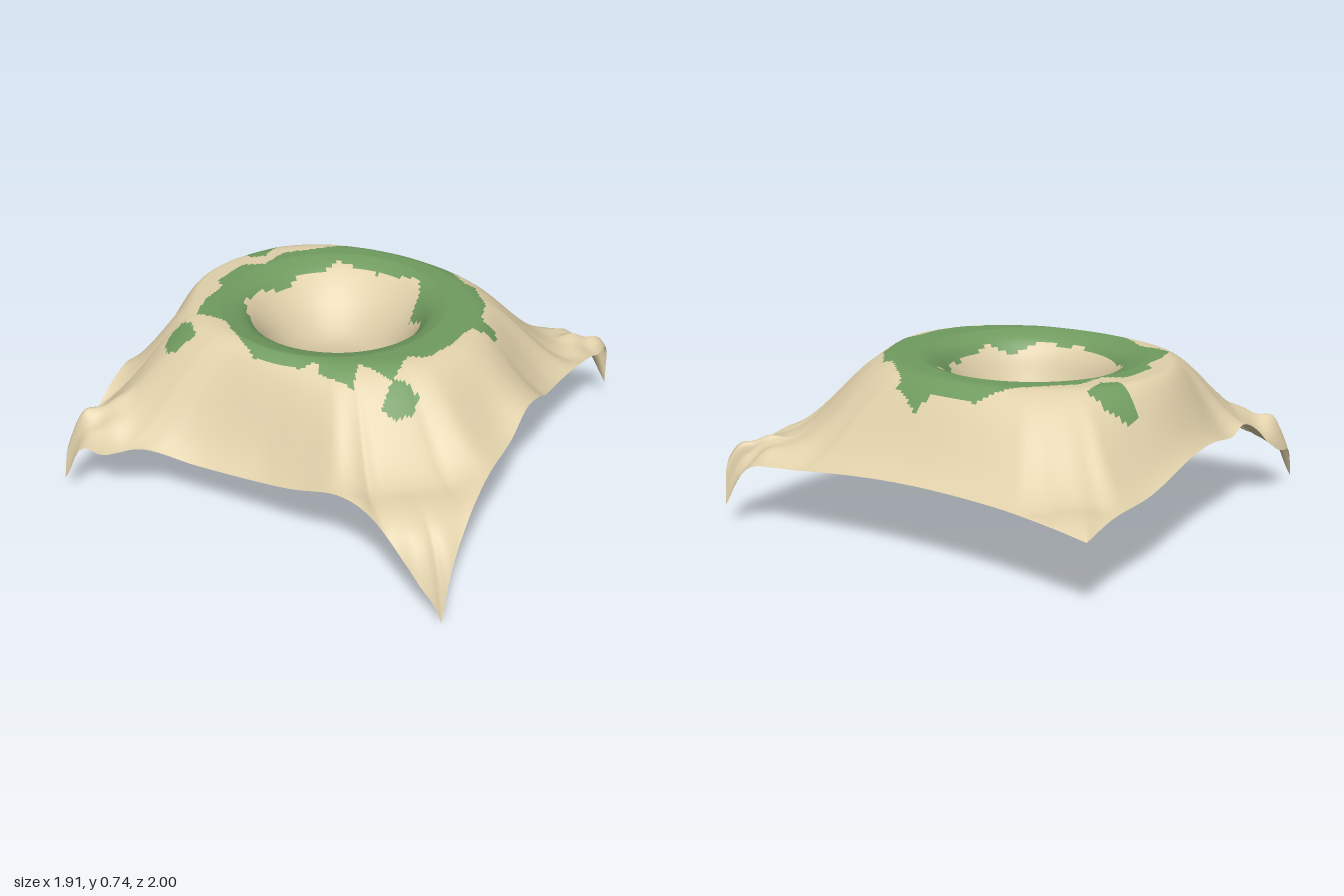
import * as THREE from 'three';

const CENTER = new THREE.Vector2(-0.07, -0.02);
const PER_SIDE = 60, CRATER_RINGS = 36, SLOPE_RINGS = 64, TOP = 0.738, RIM = 0.51;

// Outer border of the terrain, one run per side: x, y, z
const SIDES = [
  [[0.95, 0, 0.985], [0.92, 0.08, 0.992], [0.86, 0.16, 1], [0.79, 0.23, 0.985], [0.6, 0.37, 0.93], [0.45, 0.4, 0.9],
    [0.2, 0.33, 0.86], [0, 0.29, 0.83], [-0.3, 0.27, 0.82], [-0.55, 0.3, 0.86], [-0.72, 0.24, 0.9], [-0.85, 0.21, 0.915],
    [-0.955, 0.05, 0.91]],
  [[-0.955, 0.05, 0.91], [-0.96, 0.19, 0.85], [-0.95, 0.22, 0.72], [-0.93, 0.36, 0.57], [-0.92, 0.43, 0.42], [-0.92, 0.4, 0.32],
    [-0.93, 0.43, 0.1], [-0.94, 0.43, -0.1], [-0.955, 0.37, -0.5], [-0.95, 0.36, -0.8], [-0.955, 0.33, -1]],
  [[-0.955, 0.33, -1], [-0.8, 0.35, -0.99], [-0.5, 0.37, -0.965], [0, 0.37, -0.95], [0.5, 0.33, -0.965], [0.8, 0.28, -0.985],
    [0.95, 0.08, -0.99]],
  [[0.95, 0.08, -0.99], [0.95, 0.27, -0.96], [0.945, 0.3, -0.87], [0.93, 0.34, -0.75], [0.92, 0.37, -0.6], [0.9, 0.38, -0.4],
    [0.91, 0.42, -0.2], [0.92, 0.47, -0.1], [0.92, 0.5, 0.06], [0.925, 0.44, 0.25], [0.93, 0.42, 0.5], [0.94, 0.36, 0.7],
    [0.95, 0.21, 0.9], [0.95, 0, 0.985]],
];

// Crater cross-sections from the pit floor to the rim: centre x, centre z, radius x, radius z, height
const CRATER = [
  [-0.09, 0.02, 0, 0, 0.085], [-0.095, 0.02, 0.09, 0.095, 0.1], [-0.1, 0.015, 0.135, 0.165, 0.17],
  [-0.095, 0.015, 0.165, 0.19, 0.23], [-0.067, 0.01, 0.2, 0.21, 0.31], [-0.04, 0.01, 0.25, 0.235, 0.43],
  [-0.04, 0, 0.31, 0.29, 0.55], [-0.05, -0.02, 0.37, 0.35, 0.64], [-0.06, -0.03, 0.43, 0.42, 0.705],
  [CENTER.x, CENTER.y, RIM, RIM, TOP],
];

// Grass ring outlines and loose patches, in x, z
const GRASS_OUTER = [[-0.22, -0.68], [0.01, -0.68], [0.06, -0.74], [0.14, -0.69], [0.21, -0.66], [0.22, -0.62], [0.38, -0.48],
  [0.43, -0.48], [0.55, -0.33], [0.58, -0.2], [0.68, -0.18], [0.68, -0.13], [0.58, -0.06], [0.57, 0.1], [0.52, 0.25],
  [0.45, 0.28], [0.45, 0.43], [0.29, 0.43], [0.32, 0.54], [0.17, 0.54], [0.12, 0.49], [0.07, 0.54], [-0.16, 0.54],
  [-0.3, 0.45], [-0.42, 0.36], [-0.56, 0.36], [-0.6, 0.23], [-0.6, 0.08], [-0.65, 0.04], [-0.64, -0.16], [-0.55, -0.22],
  [-0.53, -0.37]];
const GRASS_INNER = [[-0.27, -0.44], [0.16, -0.44], [0.21, -0.35], [0.22, -0.22], [0.31, -0.16], [0.33, 0], [0.31, 0.16],
  [0.22, 0.22], [0.12, 0.34], [-0.08, 0.37], [-0.25, 0.31], [-0.35, 0.24], [-0.47, 0.1], [-0.47, -0.04], [-0.4, -0.18],
  [-0.39, -0.27], [-0.3, -0.35]];
const PATCHES = [
  [[-0.77, -0.38], [-0.7, -0.43], [-0.6, -0.43], [-0.59, -0.3], [-0.65, -0.25], [-0.72, -0.27], [-0.78, -0.32]],
  [[-0.65, 0.44], [-0.61, 0.4], [-0.56, 0.41], [-0.49, 0.48], [-0.56, 0.54], [-0.61, 0.54], [-0.65, 0.5]],
  [[0.45, 0.42], [0.52, 0.4], [0.57, 0.42], [0.57, 0.48], [0.52, 0.54], [0.45, 0.54]],
];

function inside(x, z, outline) {
  let hit = false;
  outline.forEach(([ax, az], i) => {
    const [bx, bz] = outline[(i + 1) % outline.length];
    if ((az > z) !== (bz > z) && x < ax + (bx - ax) * (z - az) / (bz - az)) hit = !hit;
  });
  return hit;
}

const isGrass = (x, z) =>
  (inside(x, z, GRASS_OUTER) && !inside(x, z, GRASS_INNER)) || PATCHES.some((patch) => inside(x, z, patch));

// Small folds in the two crumpled corners
function crumple(x, z) {
  const near = Math.max(0, 1 - Math.hypot(x - 0.88, z + 0.92) / 0.2) + Math.max(0, 1 - Math.hypot(x + 0.88, z - 0.82) / 0.24);
  return near * (0.025 + 0.035 * Math.sin(x * 31 + z * 9) * Math.cos(z * 27));
}

// Height of the slope at radius r, in the direction of a border point
function slopeHeight(r, reach, cos, sin, edgeY) {
  const shoulder = 1 / Math.hypot(cos / 0.65, sin / (sin > 0 ? 0.5 : 0.57));
  const out = Math.max(0, r - shoulder);
  const fall = THREE.MathUtils.smoothstep(out, 0, Math.min(reach - shoulder, 0.52));
  const base = Math.max(0.31 + 0.085 * THREE.MathUtils.smoothstep(reach, 0.98, 1.3), edgeY + 0.02);
  return TOP + (base - TOP) * fall + (edgeY - base) * (out / (reach - shoulder)) ** 8;
}

export function createModel() {
  const group = new THREE.Group();
  const sand = new THREE.MeshStandardMaterial({ color: 0xe0d0aa, side: THREE.DoubleSide });
  sand.name = 'sand';
  const grass = new THREE.MeshStandardMaterial({ color: 0x709b5f, side: THREE.DoubleSide });
  grass.name = 'grass';

  // Evenly spaced border points
  const border = SIDES.flatMap((side) => {
    const curve = new THREE.CatmullRomCurve3(side.map((p) => new THREE.Vector3(...p)));
    return Array.from({ length: PER_SIDE }, (_, i) => curve.getPointAt(i / PER_SIDE));
  });
  const pitCenter = new THREE.SplineCurve(CRATER.map(([cx, cz]) => new THREE.Vector2(cx, cz)));
  const pitWall = new THREE.CatmullRomCurve3(CRATER.map(([, , rx, rz, y]) => new THREE.Vector3(rx, y, rz)));

  // Rings run from the pit floor over the rim and down to the border
  const positions = [];
  const rings = CRATER_RINGS + SLOPE_RINGS + 1, around = border.length;
  for (let i = 0; i < rings; i++) {
    const inPit = i <= CRATER_RINGS;
    const t = inPit ? i / CRATER_RINGS : (i - CRATER_RINGS) / SLOPE_RINGS;
    const center = inPit ? pitCenter.getPoint(t) : CENTER;
    const wall = pitWall.getPoint(inPit ? t : 1);
    for (const edge of border) {
      const dx = edge.x - CENTER.x, dz = edge.z - CENTER.y, reach = Math.hypot(dx, dz);
      const cos = dx / reach, sin = dz / reach;
      const grow = inPit ? 0 : (reach - RIM) * t;
      const x = center.x + cos * (wall.x + grow), z = center.y + sin * (wall.z + grow);
      const dome = slopeHeight(wall.x + grow, reach, cos, sin, edge.y);
      const y = inPit ? wall.y + dome - TOP : dome + crumple(x, z);
      positions.push(x, Math.max(0, y), z);
    }
  }

  // Sort the faces into sand and grass, one cell at a time
  const faces = [[], []];
  for (let i = 0; i < rings - 1; i++) {
    for (let j = 0; j < around; j++) {
      const k = (j + 1) % around;
      const a = i * around + j, b = a + around, d = i * around + k, c = d + around;
      const mid = (axis) => (positions[a * 3 + axis] + positions[c * 3 + axis]) / 2;
      const list = faces[isGrass(mid(0), mid(2)) ? 1 : 0];
      list.push(a, c, b);
      if (i > 0) list.push(a, d, c);
    }
  }

  const geometry = new THREE.BufferGeometry();
  geometry.setAttribute('position', new THREE.Float32BufferAttribute(positions, 3));
  geometry.setIndex([...faces[0], ...faces[1]]);
  geometry.addGroup(0, faces[0].length, 0);
  geometry.addGroup(faces[0].length, faces[1].length, 1);
  geometry.computeVertexNormals();

  const terrain = new THREE.Mesh(geometry, [sand, grass]);
  terrain.name = 'craterTerrain';
  group.add(terrain);
  return group;
}
